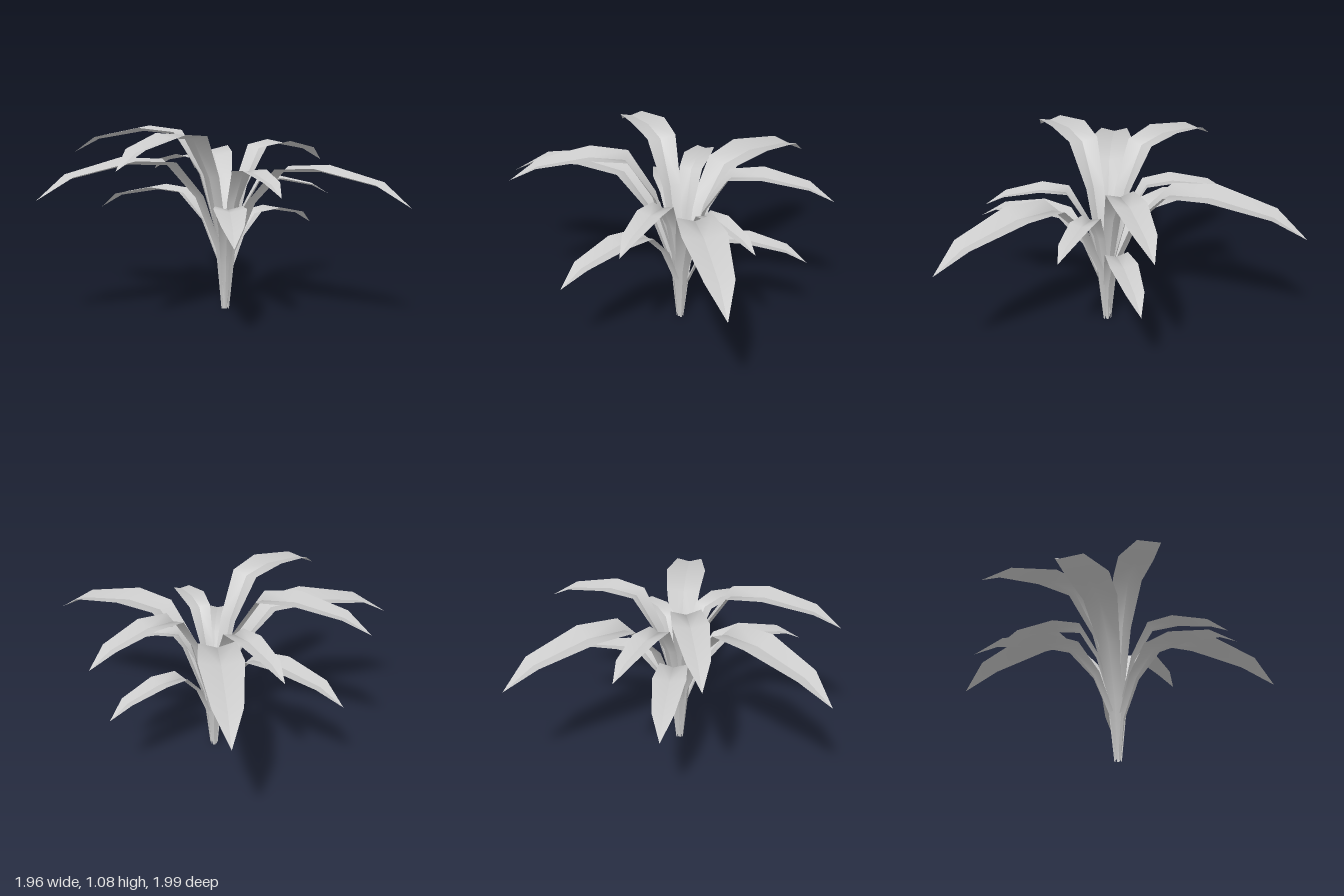
import * as THREE from 'three';

const CENTRE = { x: 0.17, z: 0.125 };

// One leaf per row: tip x, tip z, height of the arch
const LEAVES = [
  [0.46, -1.0, 0.92], [0.98, -0.17, 0.99], [0.87, -0.10, 0.58], [0.74, 0.35, 0.80],
  [0.88, 0.99, 0.88], [0.17, 0.82, 0.88], [-0.15, 0.91, 0.67], [-0.68, 0.59, 1.085],
  [-0.98, 0.125, 0.92], [-0.57, -0.48, 1.085], [-0.36, -0.59, 0.71], [0.0, -0.59, 0.91],
];

// Stations along a leaf: reach (share of length), height (share of arch),
// droop (share of length), half width (share of length), fold of the V
const STATIONS = [
  [0.022, 0.00, 0, 0.006, 0.5],
  [0.055, 0.40, 0, 0.036, 0.5],
  [0.17, 0.745, 0, 0.058, 0.4],
  [0.325, 0.96, 0, 0.092, 0.28],
  [0.53, 0.975, 0, 0.110, 0.24],
  [0.83, 0.98, 0.062, 0.072, 0.24],
  [1.0, 1.0, 0.174, 0, 0],
];

// Folded blade in local space: grows along +x, arches up, midrib at z = 0
function leafGeometry(length, arch) {
  const spine = STATIONS.map(([f, h, d]) =>
    new THREE.Vector2(f * length, Math.max(0.005, h * arch - d * length)));
  const positions = [];
  const indices = [];
  for (const side of [1, -1]) {
    const start = positions.length / 3;
    spine.forEach((p, i) => {
      const a = spine[Math.max(i - 1, 0)];
      const b = spine[Math.min(i + 1, spine.length - 1)];
      const t = b.clone().sub(a).normalize();
      const half = STATIONS[i][3] * length;
      const lift = half * STATIONS[i][4];
      positions.push(p.x, p.y, 0);
      positions.push(p.x - t.y * lift, p.y + t.x * lift, side * half);
    });
    for (let i = 0; i < spine.length - 1; i++) {
      const m = start + i * 2;
      const quad = side > 0
        ? [m, m + 1, m + 2, m + 1, m + 3, m + 2]
        : [m, m + 2, m + 1, m + 1, m + 2, m + 3];
      // the last strip closes to a point
      indices.push(...(i === spine.length - 2 ? quad.slice(0, 3) : quad));
    }
  }
  const geometry = new THREE.BufferGeometry();
  geometry.setAttribute('position', new THREE.Float32BufferAttribute(positions, 3));
  geometry.setIndex(indices);
  geometry.computeVertexNormals();
  return geometry;
}

export function createModel() {
  const plant = new THREE.Group();
  plant.name = 'plant';
  const material = new THREE.MeshStandardMaterial({ color: 0xcccccc, side: THREE.DoubleSide });

  // Rosette of arching leaves around a common root
  LEAVES.forEach(([x, z, arch], i) => {
    const dx = x - CENTRE.x;
    const dz = z - CENTRE.z;
    const leaf = new THREE.Mesh(leafGeometry(Math.hypot(dx, dz), arch), material);
    leaf.name = `leaf${i + 1}`;
    leaf.position.set(CENTRE.x, 0, CENTRE.z);
    leaf.rotation.y = Math.atan2(-dz, dx);
    plant.add(leaf);
  });
  return plant;
}
